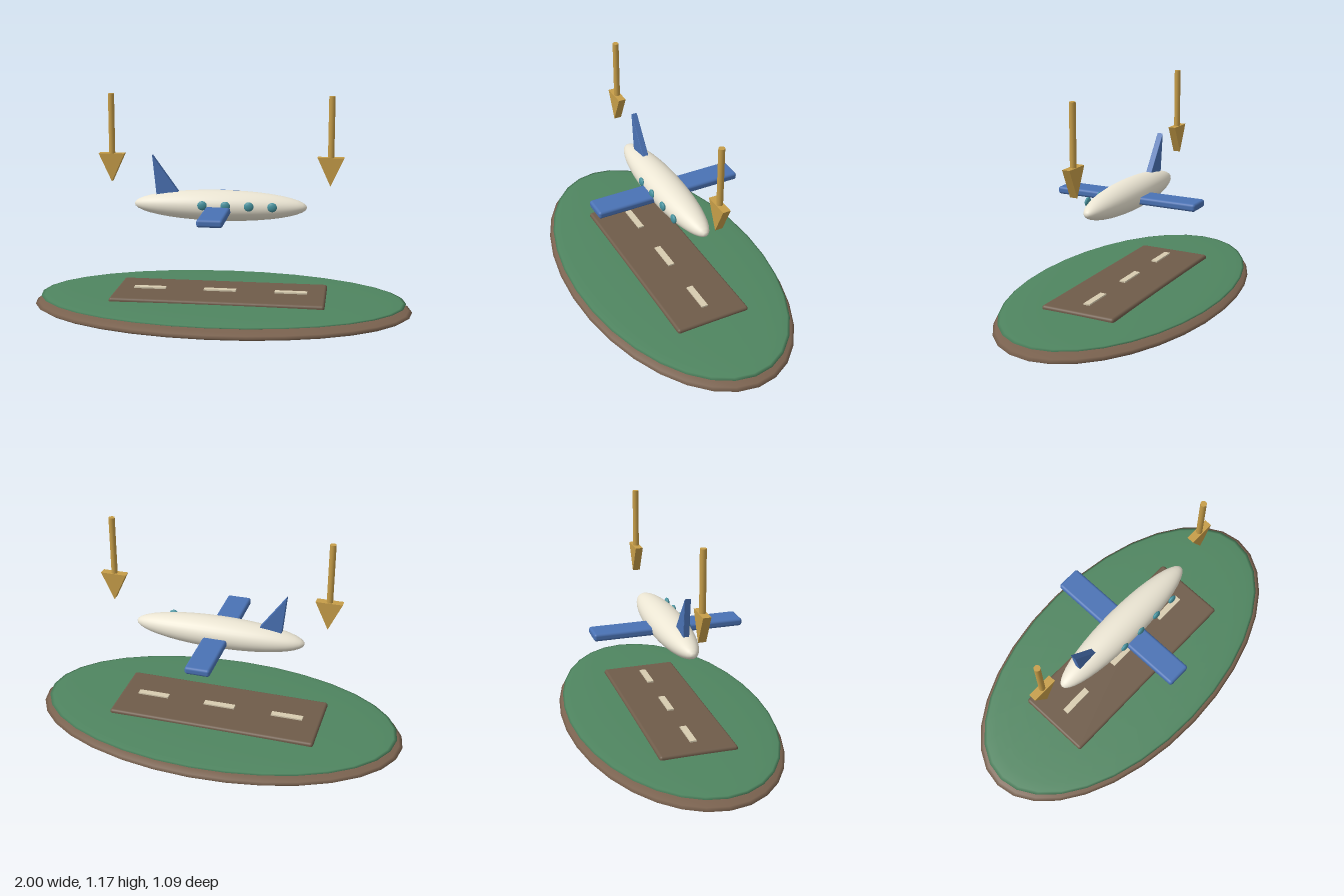
import * as THREE from 'three';
import { RoundedBoxGeometry } from 'three/addons/geometries/RoundedBoxGeometry.js';

const mat = (color) => new THREE.MeshStandardMaterial({ color });
const COLORS = {
  earth: mat(0x7a624f), grass: mat(0x4f8560), runway: mat(0x6f5c4a), stripe: mat(0xd8ccb0),
  hull: mat(0xebe5d3), blue: mat(0x4a72b4), glass: mat(0x46929e), gold: mat(0xc69d48),
};

function add(parent, name, geometry, material, x, y, z) {
  const mesh = new THREE.Mesh(geometry, material);
  mesh.name = name;
  mesh.position.set(x, y, z);
  parent.add(mesh);
  return mesh;
}

// Ellipsoid from half sizes; lengthwise puts the poles on the x axis
function ellipsoid(rx, ry, rz, w = 32, h = 16, lengthwise = false) {
  const g = new THREE.SphereGeometry(1, w, h);
  if (lengthwise) g.rotateZ(-Math.PI / 2);
  return g.scale(rx, ry, rz);
}

// Flat plate from an outline in x and y, centred on z = 0
function plate(points, thickness, bevel = 0) {
  const shape = new THREE.Shape(points.map(([x, y]) => new THREE.Vector2(x, y)));
  const depth = thickness - 2 * bevel;
  return new THREE.ExtrudeGeometry(shape, {
    depth, bevelEnabled: bevel > 0, bevelSize: bevel, bevelThickness: bevel, bevelOffset: -bevel, bevelSegments: 2,
  }).translate(0, 0, -depth / 2);
}

function createIsland() {
  const island = new THREE.Group();
  island.name = 'island';
  add(island, 'earthDisc', ellipsoid(1, 0.056, 0.545), COLORS.earth, 0, 0.06, 0);
  add(island, 'grassDisc', ellipsoid(0.968, 0.019, 0.525), COLORS.grass, 0, 0.104, 0);
  add(island, 'runway', new RoundedBoxGeometry(1.115, 0.034, 0.405, 3, 0.014), COLORS.runway, -0.004, 0.12, 0);
  // Centre line dashes
  for (const x of [-0.375, 0, 0.375]) {
    add(island, 'runwayStripe', new THREE.BoxGeometry(0.17, 0.008, 0.034), COLORS.stripe, x - 0.004, 0.144, 0);
  }
  return island;
}

function createPlane() {
  const plane = new THREE.Group();
  plane.name = 'airplane';
  plane.position.set(-0.004, 0.6, 0);
  add(plane, 'fuselage', ellipsoid(0.452, 0.08, 0.095, 32, 20, true), COLORS.hull, 0, 0, 0);
  add(plane, 'wing', new RoundedBoxGeometry(0.13, 0.04, 0.795, 3, 0.014), COLORS.blue, 0, -0.012, 0);
  // Swept tail fin, rooted in the fuselage
  add(plane, 'tailFin', plate([[-0.354, 0.258], [-0.33, 0.02], [-0.19, 0.03]], 0.032, 0.003), COLORS.blue, 0, 0, 0);
  // Portholes along the front side
  for (let i = 0; i < 4; i++) {
    add(plane, 'window', ellipsoid(0.025, 0.024, 0.012, 20, 12), COLORS.glass, -0.081 + i * 0.12, 0.014, 0.091);
  }
  return plane;
}

// Down arrow: round shaft with a flat triangular head
function createArrow(name, x) {
  const arrow = new THREE.Group();
  arrow.name = name;
  arrow.position.set(x, 0, 0);
  add(arrow, 'arrowShaft', new THREE.CylinderGeometry(0.016, 0.016, 0.335, 16), COLORS.gold, 0, 1.006, 0);
  add(arrow, 'arrowHead', plate([[-0.068, 0.863], [0, 0.716], [0.068, 0.863]], 0.04), COLORS.gold, 0, 0, 0);
  return arrow;
}

export function createModel() {
  const model = new THREE.Group();
  model.name = 'airplaneLanding';
  model.add(createIsland(), createPlane(), createArrow('rightArrow', -0.572), createArrow('leftArrow', 0.565));
  return model;
}
